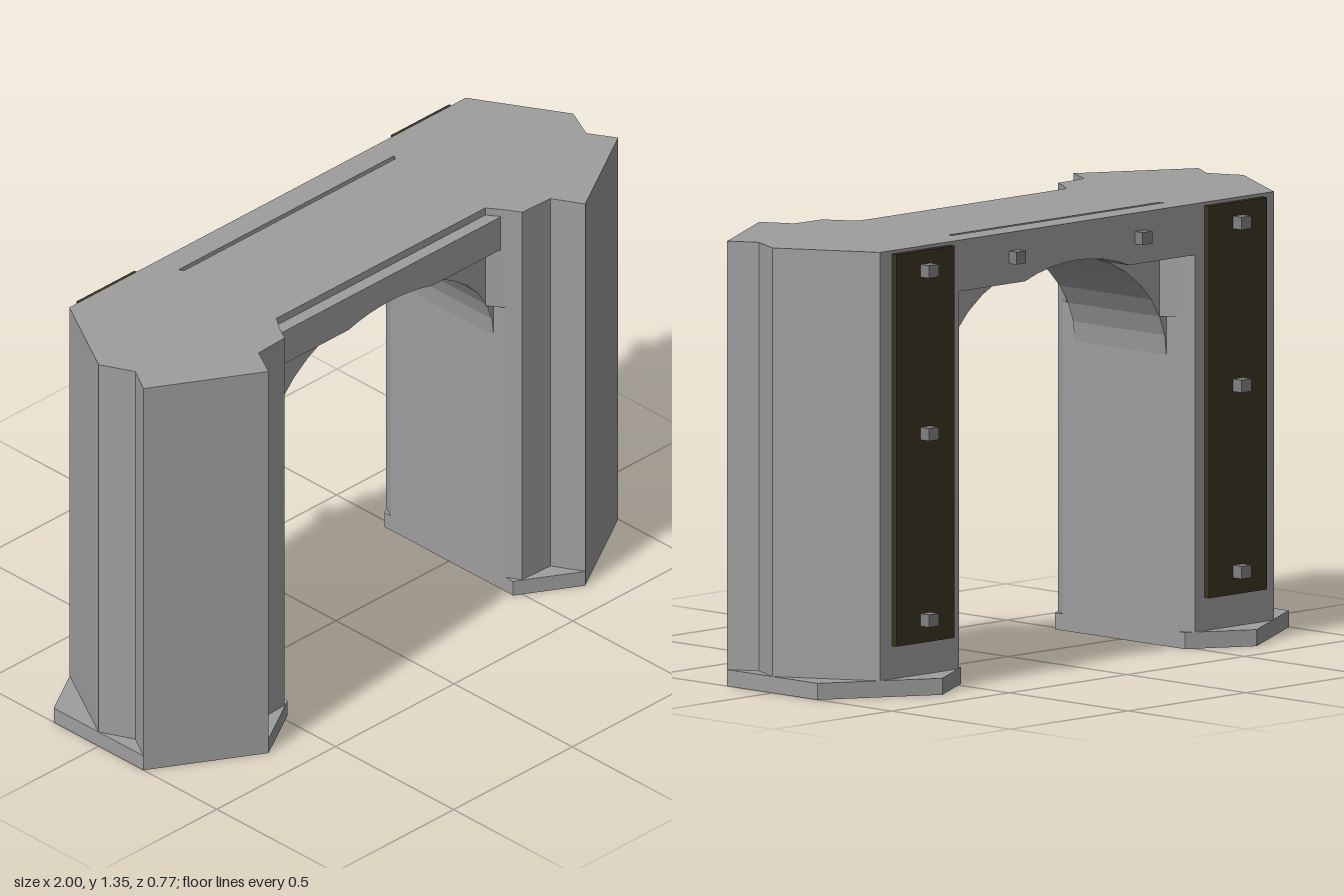
import * as THREE from 'three';

const HEIGHT = 1.345, BASE = 0.05;
const OPEN = 0.475, SPRING = 0.88, RISE = 0.35; // arch half width, spring height, rise

export function createModel() {
  const group = new THREE.Group();
  const concrete = new THREE.MeshStandardMaterial({ color: 0x9e9e9e });
  concrete.name = 'grey wall';
  const panelBrown = new THREE.MeshStandardMaterial({ color: 0x3a3322 });
  panelBrown.name = 'dark brown panel';
  const knobGrey = new THREE.MeshStandardMaterial({ color: 0x808080 });
  knobGrey.name = 'knob grey';

  const add = (name, geometry, material) => {
    const mesh = new THREE.Mesh(geometry, material);
    mesh.name = name;
    group.add(mesh);
    return mesh;
  };

  // Upright prism over a plan outline of [x, z] points
  const prism = (name, plan, side, y0, y1) => {
    const shape = new THREE.Shape(plan.map(([x, z]) => new THREE.Vector2(side * x, -z)));
    const geo = new THREE.ExtrudeGeometry(shape, { depth: y1 - y0, bevelEnabled: false });
    geo.rotateX(-Math.PI / 2).translate(0, y0, 0);
    return add(name, geo, concrete);
  };

  // Wall slab whose lower edge is cut by the elliptical arch
  const archSlab = (name, half, bottom, top, z0, z1, steps) => {
    const pts = [new THREE.Vector2(-half, top)];
    if (half > OPEN || bottom > SPRING) pts.push(new THREE.Vector2(-half, bottom));
    const t0 = Math.asin((bottom - SPRING) / RISE);
    for (let i = 0; i <= steps; i++) {
      const t = Math.PI - t0 - (i / steps) * (Math.PI - 2 * t0);
      pts.push(new THREE.Vector2(OPEN * Math.cos(t), SPRING + RISE * Math.sin(t)));
    }
    if (half > OPEN || bottom > SPRING) pts.push(new THREE.Vector2(half, bottom));
    pts.push(new THREE.Vector2(half, top));
    const geo = new THREE.ExtrudeGeometry(new THREE.Shape(pts), { depth: z1 - z0, bevelEnabled: false });
    geo.translate(0, 0, z0);
    return add(name, geo, concrete);
  };

  const box = (name, material, w, h, d, x, y, z) =>
    add(name, new THREE.BoxGeometry(w, h, d), material).position.set(x, y, z);

  // Arched span with its front and back lintels
  archSlab('archSpan', OPEN, SPRING, HEIGHT, -0.195, 0.19, 18);
  archSlab('frontLintel', 0.465, 1.205, 1.32, 0.19, 0.23, 8);
  archSlab('backLintel', 0.5, 1.19, HEIGHT, -0.29, -0.21, 8);

  const basePlan = [[OPEN, 0.273], [0.667, 0.385], [1, 0.19], [1, -0.19], [0.667, -0.385], [OPEN, -0.273]];
  const towerPlan = [
    [OPEN, 0.24], [0.5, 0.285], [0.615, 0.29], [0.667, 0.385], [1, 0.19], [0.95, 0.105],
    [1, 0], [0.835, -0.29], [0.5, -0.29], [OPEN, -0.245],
  ];

  for (const side of [-1, 1]) {
    prism('towerBase', basePlan, side, 0, BASE);
    prism('tower', towerPlan, side, BASE, HEIGHT);

    // Slanted corners where the tower meets the span, above the arch
    prism('frontCorner', [[OPEN, 0.19], [OPEN, 0.24], [0.44, 0.19]], side, 1.0, HEIGHT);
    prism('backCorner', [[OPEN, -0.195], [OPEN, -0.245], [0.445, -0.195]], side, 1.0, HEIGHT);

    // Back panel with three knobs
    box('backPanel', panelBrown, 0.245, 1.185, 0.02, side * 0.663, 0.7425, -0.3);
    for (const y of [0.22, 0.783, 1.275])
      box('panelKnob', knobGrey, 0.042, 0.038, 0.036, side * 0.663, y, -0.327);

    // Knob on the back lintel
    box('lintelKnob', knobGrey, 0.042, 0.038, 0.032, side * 0.268, 1.27, -0.305);
  }
  return group;
}
